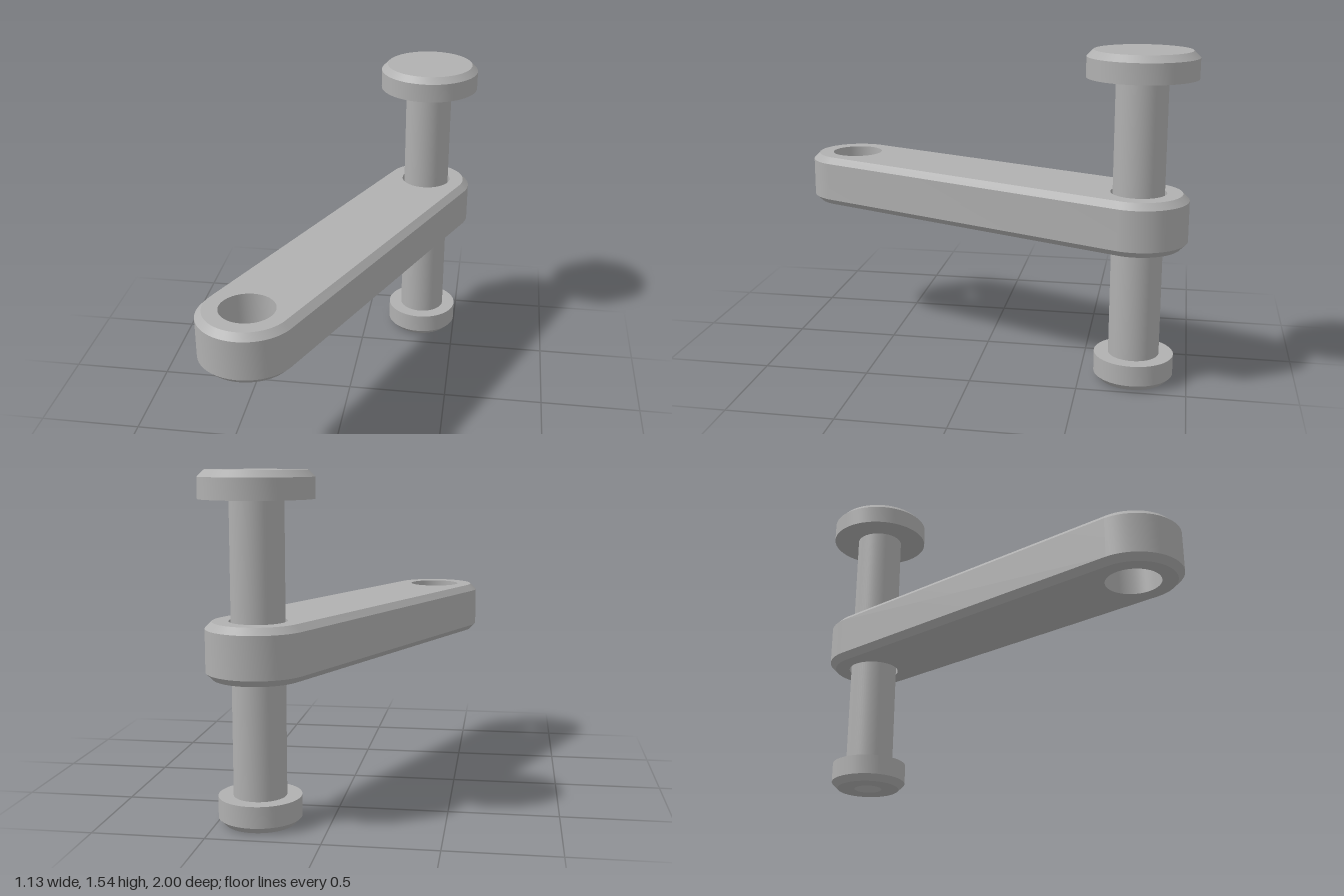
import * as THREE from 'three';
import { toCreasedNormals } from 'three/addons/utils/BufferGeometryUtils.js';

const SEG = 64;

// Turned solid from [radius, y] pairs, bottom to top, with crisp chamfers
function turned(profile, phiStart = 0) {
  const pts = profile.map(([r, y]) => new THREE.Vector2(r, y));
  return new THREE.LatheGeometry(pts, SEG, phiStart);
}

export function createModel() {
  const group = new THREE.Group();
  const steel = new THREE.MeshStandardMaterial({ color: 0xb0b0b0 });

  const add = (parent, name, geometry) => {
    const mesh = new THREE.Mesh(geometry, steel);
    mesh.name = name;
    parent.add(mesh);
    return mesh;
  };

  // Pin: broad chamfered head, shaft and retaining collar
  const pin = new THREE.Group();
  pin.name = 'pin';
  pin.position.set(0.313, 0, -0.75);
  group.add(pin);
  add(pin, 'pinHead', toCreasedNormals(turned([
    [0, 1.422], [0.25, 1.422], [0.25, 1.515], [0.22, 1.545], [0, 1.545],
  ]), 0.5));
  add(pin, 'pinShaft', toCreasedNormals(turned([[0.118, 0.12], [0.118, 1.43]]), 0.5));
  // Collar with a countersunk centre recess underneath
  add(pin, 'collar', toCreasedNormals(turned([
    [0, 0.1], [0.035, 0.1], [0.035, 0.03], [0.068, 0], [0.155, 0],
    [0.185, 0.03], [0.185, 0.126], [0, 0.126],
  ]), 0.5));

  // Link arm: built along local x, then turned into place
  const dx = 0.651, dz = -1.52;
  const half = Math.hypot(dx, dz) / 2;
  const R = 0.23, CH = 0.03, HOLE = 0.128, Y0 = 0.65, Y1 = 0.9;
  const link = new THREE.Group();
  link.name = 'linkArm';
  link.position.set(-0.0125, 0, 0.01);
  link.rotation.y = Math.atan2(-dz, dx);
  group.add(link);

  // Rim: a turned ring stretched by moving its two halves apart
  const rim = turned([[R - CH, Y0], [R, Y0 + CH], [R, Y1 - CH], [R - CH, Y1]], Math.PI / SEG);
  const pos = rim.attributes.position;
  for (let i = 0; i < pos.count; i++) {
    pos.setX(i, pos.getX(i) + Math.sign(pos.getX(i)) * half);
  }
  add(link, 'linkRim', toCreasedNormals(rim, 0.5));

  // Flat faces with a hole at each end
  const face = new THREE.Shape();
  face.absarc(half, 0, R - CH, -Math.PI / 2, Math.PI / 2, false);
  face.absarc(-half, 0, R - CH, Math.PI / 2, Math.PI * 1.5, false);
  face.closePath();
  for (const s of [-1, 1]) {
    const hole = new THREE.Path();
    hole.absarc(s * half, 0, HOLE, 0, Math.PI * 2, true);
    face.holes.push(hole);
  }
  const top = add(link, 'linkTop', new THREE.ShapeGeometry(face, 32).rotateX(-Math.PI / 2));
  top.position.y = Y1;
  const bottom = add(link, 'linkBottom', new THREE.ShapeGeometry(face, 32).rotateX(Math.PI / 2));
  bottom.position.y = Y0;

  // Bore walls, facing inward
  for (const s of [-1, 1]) {
    const bore = add(link, s < 0 ? 'openBore' : 'pinBore',
      toCreasedNormals(turned([[HOLE, Y1], [HOLE, Y0]]), 0.5));
    bore.position.x = s * half;
  }

  return group;
}
